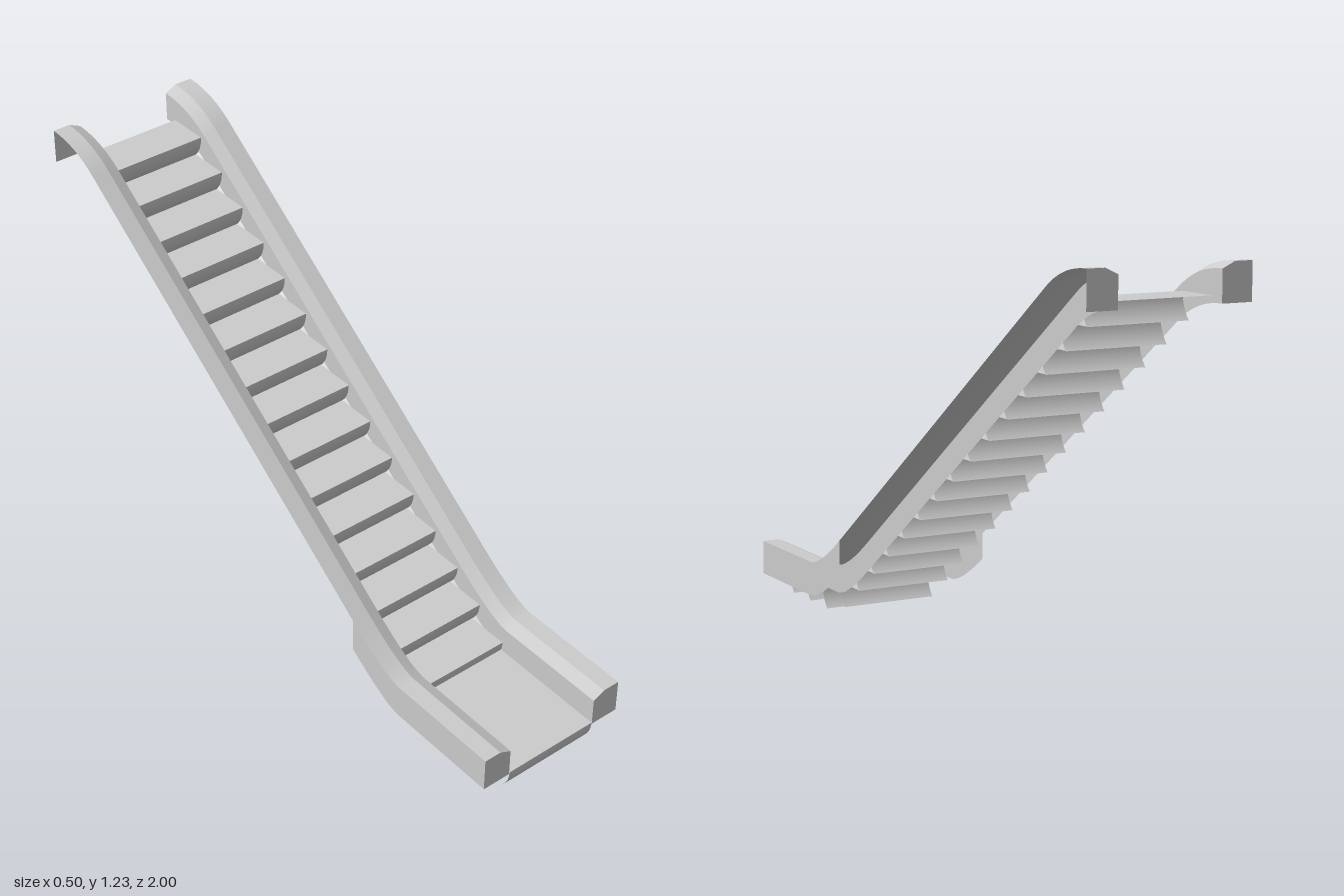
import * as THREE from 'three';

const material = new THREE.MeshStandardMaterial({ color: 0xcccccc, side: THREE.DoubleSide });

function add(group, name, geometry) {
  const mesh = new THREE.Mesh(geometry, material);
  mesh.name = name;
  group.add(mesh);
  return mesh;
}

// Strip swept along a (z, y) path between two section points [x, dy]
function strip(path, a, b) {
  const pos = [], index = [];
  path.forEach((p, i) => {
    pos.push(a[0], p.y + a[1], p.x, b[0], p.y + b[1], p.x);
    if (i > 0) {
      const k = 2 * i;
      index.push(k - 2, k, k - 1, k, k + 1, k - 1);
    }
  });
  const g = new THREE.BufferGeometry();
  g.setAttribute('position', new THREE.Float32BufferAttribute(pos, 3));
  g.setIndex(index);
  g.computeVertexNormals();
  return g;
}

// Side rail: a hollow shell, open below, its outer wall only at the foot
function createRail(side) {
  const rail = new THREE.Group();
  rail.name = side > 0 ? 'leftRail' : 'rightRail';

  const curve = new THREE.Path();
  curve.moveTo(1, 0.178);
  curve.lineTo(0.636, 0.178);
  curve.quadraticCurveTo(0.573, 0.178, 0.425, 0.284);
  curve.lineTo(-0.8, 1.167);
  curve.quadraticCurveTo(-0.887, 1.23, -1, 1.23);
  const path = curve.getPoints(12);
  const foot = path.filter((p) => p.x > 0.42);

  const section = [[0.25, -0.108], [0.25, 0], [0.195, 0], [0.157, -0.018], [0.157, -0.108]]
    .map(([x, y]) => [x * side, y]);
  ['outerWall', 'railTop', 'railBevel', 'innerWall'].forEach((name, i) => {
    const [a, b] = side > 0 ? [section[i], section[i + 1]] : [section[i + 1], section[i]];
    add(rail, name, strip(name === 'outerWall' ? foot : path, a, b));
  });

  // End caps
  const shape = new THREE.Shape(section.map(([x, y]) => new THREE.Vector2(x, y)));
  add(rail, 'frontCap', new THREE.ShapeGeometry(shape)).position.set(0, 0.178, 1);
  const backCap = new THREE.ShapeGeometry(shape);
  backCap.scale(-1, 1, 1).rotateY(Math.PI);
  backCap.index.array.reverse();
  backCap.computeVertexNormals();
  add(rail, 'backCap', backCap).position.set(0, 1.23, -1);
  return rail;
}

export function createModel() {
  const model = new THREE.Group();
  model.name = 'escalator';
  model.add(createRail(1), createRail(-1));

  // Step: flat tread and a riser curving back below its nose
  const width = 0.312, depth = 0.134, radius = 0.1045, drop = 0.075;
  const angle = Math.asin(drop / radius);
  const tread = new THREE.PlaneGeometry(width, depth);
  tread.rotateX(-Math.PI / 2).translate(0, 0, -depth / 2);
  const riser = new THREE.CylinderGeometry(radius, radius, width, 8, 1, true, -angle, angle);
  riser.rotateZ(Math.PI / 2).translate(0, 0, -radius);

  // Nose positions [z, y]: level landing, transition, then the even climb
  const noses = [[1, 0.075], [0.874, 0.075], [0.748, 0.075], [0.62, 0.106]];
  for (let i = 0; i < 14; i++) noses.push([0.515 - 0.1027 * i, 0.18 + 0.0738 * i]);

  noses.forEach(([z, y], i) => {
    const step = new THREE.Group();
    step.name = `step${i + 1}`;
    add(step, 'tread', tread);
    add(step, 'riser', riser);
    step.position.set(0, y, z);
    model.add(step);
  });
  return model;
}
